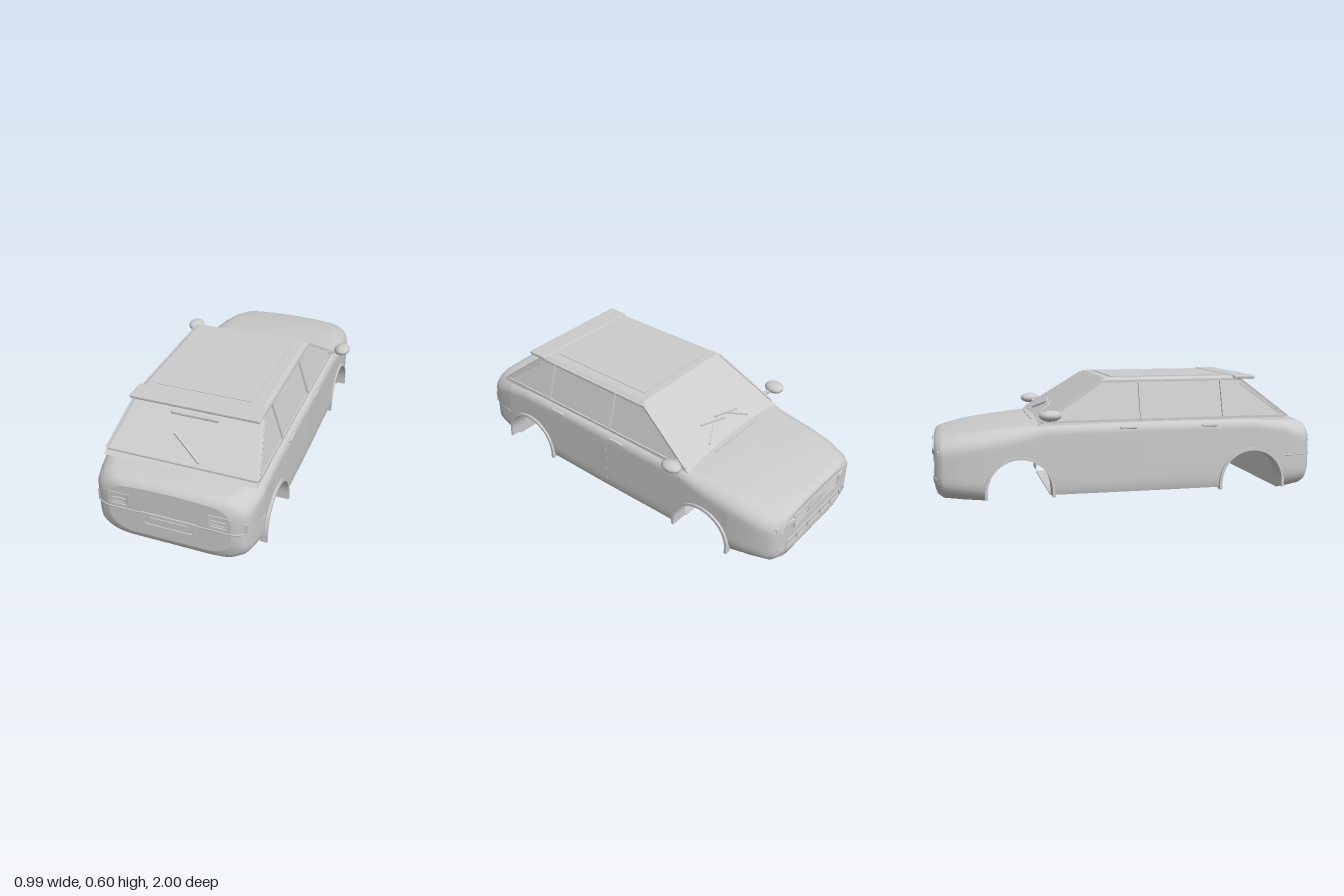
import * as THREE from 'three';
import { ConvexGeometry } from 'three/addons/geometries/ConvexGeometry.js';
import { RoundedBoxGeometry } from 'three/addons/geometries/RoundedBoxGeometry.js';

const V = (x, y, z) => new THREE.Vector3(x, y, z);

// Body stations: z, half width, top height, bottom height, top corner width, bottom corner width
const STATIONS = [
  [-0.992, 0.30, 0.285, 0.05, 0.10, 0.12],
  [-0.98, 0.335, 0.303, 0.02, 0.11, 0.13],
  [-0.95, 0.365, 0.315, 0.004, 0.12, 0.13],
  [-0.85, 0.392, 0.338, 0, 0.12, 0.11],
  [-0.74, 0.404, 0.354, 0, 0.11, 0.06],
  [-0.58, 0.409, 0.37, 0, 0.09, 0.04],
  [-0.45, 0.411, 0.377, 0, 0.04, 0.03],
  [0.1, 0.414, 0.38, 0, 0.035, 0.03],
  [0.65, 0.413, 0.378, 0, 0.035, 0.04],
  [0.8, 0.41, 0.37, 0, 0.06, 0.06],
  [0.88, 0.402, 0.362, 0, 0.1, 0.1],
  [0.94, 0.388, 0.353, 0, 0.12, 0.13],
  [0.965, 0.37, 0.345, 0.005, 0.12, 0.14],
  [0.982, 0.345, 0.333, 0.02, 0.11, 0.14],
  [0.992, 0.31, 0.315, 0.05, 0.1, 0.12],
];
const ARCHES = [{ z: -0.58, r: 0.16, x: 0.418 }, { z: 0.635, r: 0.165, x: 0.425 }];
const ARCH_Y = 0.05;

function stationAt(z) {
  let i = 0;
  while (i < STATIONS.length - 2 && STATIONS[i + 1][0] < z) i++;
  const a = STATIONS[i], b = STATIONS[i + 1], k = (z - a[0]) / (b[0] - a[0]);
  return a.map((v, n) => v + (b[n] - v) * k);
}

// Section from the left bottom edge over the top to the right bottom edge
function section(z, cut) {
  const [, w, top, low, rx, bx] = stationAt(z);
  const ry = 0.03 + rx * 0.5, by = 0.1, yb = cut ?? low, half = [];
  for (let i = 0; i <= 12; i++) {
    const y = yb + (top - ry - yb) * (i / 12) ** 1.8;
    const d = Math.max(0, 1 - (y - low) / by);
    half.push([w - bx * (1 - Math.sqrt(Math.max(0, 1 - d * d))), y]);
  }
  for (let i = 1; i <= 7; i++) {
    const a = i / 7 * Math.PI / 2;
    half.push([w - rx * (1 - Math.cos(a)), top - ry + ry * Math.sin(a)]);
  }
  for (let i = 1; i <= 6; i++) {
    const k = 1 - i / 6;
    half.push([(w - rx) * k, top + 0.009 * (1 - k * k)]);
  }
  const mirror = half.slice(0, -1).reverse().map(([x, y]) => [-x, y]);
  return [...half, ...mirror].map(([x, y]) => [x, y, z]);
}

// Skin over sections; closed pieces get a bottom and two end walls
function loft(stations, closed) {
  const rings = stations.map(([z, cut]) => section(z, cut));
  const n = rings[0].length, pos = rings.flat(2), index = [];
  for (let i = 0; i < rings.length - 1; i++)
    for (let j = 0; j < (closed ? n : n - 1); j++) {
      const k = (j + 1) % n, a = i * n + j, b = i * n + k;
      index.push(a, b, b + n, a, b + n, a + n);
    }
  if (closed) for (const last of [false, true]) {
    const ring = last ? rings[rings.length - 1] : rings[0], base = pos.length / 3;
    pos.push(...ring.flat(), 0, 0.18, ring[0][2]);
    for (let j = 0; j < n; j++) {
      const k = (j + 1) % n;
      index.push(base + n, base + (last ? j : k), base + (last ? k : j));
    }
  }
  const g = new THREE.BufferGeometry();
  g.setAttribute('position', new THREE.Float32BufferAttribute(pos, 3));
  g.setIndex(index);
  g.computeVertexNormals();
  return g;
}

export function createModel() {
  const car = new THREE.Group();
  car.name = 'carBody';
  const grey = new THREE.MeshStandardMaterial({ color: 0xcccccc, side: THREE.DoubleSide });
  const add = (name, geo, x = 0, y = 0, z = 0) => {
    const m = new THREE.Mesh(geo, grey);
    m.name = name;
    m.position.set(x, y, z);
    car.add(m);
    return m;
  };
  const box = (name, w, h, d, x, y, z) => add(name, new THREE.BoxGeometry(w, h, d), x, y, z);
  const strip = (name, a, b, w, h = w) => {
    const m = box(name, w, h, a.distanceTo(b), 0, 0, 0);
    m.position.copy(a).add(b).multiplyScalar(0.5);
    m.lookAt(b);
  };
  const outline = (pts) => new THREE.Shape(pts.map(([x, y]) => new THREE.Vector2(x, y)));
  const tube = (name, pts, r) =>
    add(name, new THREE.TubeGeometry(new THREE.CatmullRomCurve3(pts), 40, r, 6));

  // Shell: closed nose and tail, open middle with wheel arches
  const zs = STATIONS.map((s) => s[0]);
  add('noseShell', loft(zs.filter((z) => z <= -0.74).map((z) => [z]), true));
  add('tailShell', loft(zs.filter((z) => z >= 0.8).map((z) => [z]), true));
  const arc = ({ z, r }) => Array.from({ length: 25 }, (_, i) => {
    const a = Math.PI * (1 - i / 24);
    return [z + r * Math.cos(a), ARCH_Y + r * Math.sin(a)];
  });
  const sill = [-0.42, -0.2, 0, 0.1, 0.3, 0.47].map((z) => [z, 0.025]);
  add('middleShell', loft([...arc(ARCHES[0]), ...sill, ...arc(ARCHES[1])], false));
  box('floorPanel', 0.62, 0.006, 0.89, 0, 0.008, 0.025);

  // Wheel arch lips and inner liners
  const hoop = ({ z, r }, t, depth) => {
    const s = new THREE.Shape();
    s.moveTo(z + r + t, 0.015);
    s.lineTo(z + r + t, ARCH_Y);
    s.absarc(z, ARCH_Y, r + t, 0, Math.PI, false);
    s.lineTo(z - r - t, 0.015);
    s.lineTo(z - r, 0.015);
    s.lineTo(z - r, ARCH_Y);
    s.absarc(z, ARCH_Y, r, Math.PI, 0, true);
    s.lineTo(z + r, 0.015);
    return new THREE.ExtrudeGeometry(s, { depth, bevelEnabled: false, curveSegments: 24 })
      .rotateY(-Math.PI / 2);
  };
  for (const arch of ARCHES) for (const s of [1, -1]) {
    add('archLip', hoop(arch, 0.014, 0.035), s > 0 ? arch.x : 0.035 - arch.x);
    add('archLiner', hoop(arch, 0.005, 0.08), s > 0 ? 0.4 : -0.32);
  }

  // Cabin with sloping glass and roof
  const cabin = [];
  for (const [x, y, z0, z1] of [[0.389, 0.37, -0.49, 0.865], [0.322, 0.585, -0.15, 0.59], [0.305, 0.6, -0.135, 0.57]])
    for (const s of [1, -1]) cabin.push(V(s * x, y, z0), V(s * x, y, z1));
  add('cabin', new ConvexGeometry(cabin));
  box('roofPanel', 0.5, 0.006, 0.62, 0, 0.6, 0.22);
  add('roofSpoiler', new RoundedBoxGeometry(0.665, 0.02, 0.115, 3, 0.008), 0, 0.594, 0.615);

  // Window frames, pillars, handles, seams and mirrors on both sides
  for (const s of [1, -1]) {
    const side = (y, z) => V(s * (0.383 - (y - 0.39) * 0.312), y, z);
    strip('beltTrim', side(0.39, -0.44), side(0.39, 0.82), 0.012);
    strip('roofRail', side(0.583, -0.15), side(0.583, 0.58), 0.012);
    strip('windscreenPillar', side(0.387, -0.463), side(0.585, -0.15), 0.012);
    strip('rearPillar', side(0.39, 0.835), side(0.585, 0.59), 0.014);
    for (const z of [0.04, 0.48]) strip('doorPillar', side(0.39, z), side(0.583, z), 0.008, 0.022);
    strip('quarterTrim', side(0.4, 0.8), side(0.56, 0.59), 0.008);
    for (const z of [0.4, -0.03])
      add('doorHandle', new RoundedBoxGeometry(0.016, 0.014, 0.085, 2, 0.005), s * 0.411, 0.355, z);
    strip('doorSeam', V(s * 0.4135, 0.07, 0.045), V(s * 0.4135, 0.33, 0.045), 0.003);
    const mirror = add('mirror', new THREE.SphereGeometry(1, 24, 16), s * 0.453, 0.43, -0.433);
    mirror.scale.set(0.043, 0.028, 0.055);
    mirror.rotation.z = s * 0.1;
    strip('mirrorArm', V(s * 0.375, 0.405, -0.41), V(s * 0.435, 0.422, -0.425), 0.022, 0.016);
  }

  // Rear lamps wrap the corner: vertices bend forward with x
  const lampShape = outline([[0.2, 0.27], [0.2, 0.195], [0.378, 0.175], [0.378, 0.235], [0.3, 0.268]]);
  for (const s of [1, -1]) {
    const g = new THREE.ExtrudeGeometry(lampShape, { depth: 0.018, bevelEnabled: false });
    const p = g.attributes.position;
    for (let i = 0; i < p.count; i++)
      p.setZ(i, p.getZ(i) + 0.979 - 4 * Math.max(0, p.getX(i) - 0.29) ** 2);
    g.computeVertexNormals();
    add('rearLamp', g).scale.x = s;
    for (const [y, w] of [[0.24, 0.07], [0.218, 0.06], [0.205, 0.08]])
      box('lampRib', w, 0.006, 0.006, s * 0.25, y, 0.997);
  }
  tube('rearBumperLine', [V(-0.412, 0.18, 0.81), V(-0.376, 0.18, 0.958), V(-0.33, 0.18, 0.988), V(-0.2, 0.18, 0.992),
    V(0.2, 0.18, 0.992), V(0.33, 0.18, 0.988), V(0.376, 0.18, 0.958), V(0.412, 0.18, 0.81)], 0.004);

  // Number plate holder
  const holder = outline([[-0.138, 0.11], [0.138, 0.11], [0.138, 0.19], [-0.138, 0.19]]);
  holder.holes.push(outline([[-0.12, 0.125], [-0.12, 0.175], [0.12, 0.175], [0.12, 0.125]]));
  add('plateHolder', new THREE.ExtrudeGeometry(holder, { depth: 0.012, bevelEnabled: false }), 0, 0, 0.987);
  box('rearPlate', 0.185, 0.038, 0.01, 0, 0.147, 0.992);

  // Rear glass fittings
  const rearZ = (y) => 0.865 - (y - 0.37) * 1.279;
  strip('rearGlassSill', V(-0.38, 0.39, rearZ(0.39)), V(0.38, 0.39, rearZ(0.39)), 0.01);
  add('brakeLamp', new RoundedBoxGeometry(0.25, 0.018, 0.02, 2, 0.006), 0, 0.54, rearZ(0.54));
  strip('rearWiper', V(-0.07, 0.486, rearZ(0.486) + 0.02), V(0.09, 0.413, rearZ(0.413) + 0.02), 0.009);

  // Windscreen wipers and bonnet vent
  const frontY = (z) => 0.37 + (z + 0.49) * 0.632 + 0.01;
  const wiper = (name, x0, z0, x1, z1) => strip(name, V(x0, frontY(z0), z0), V(x1, frontY(z1), z1), 0.008);
  wiper('wiperArm', -0.17, -0.45, -0.07, -0.39);
  wiper('wiperBlade', -0.14, -0.4, 0.015, -0.37);
  wiper('wiperArm', 0.17, -0.45, 0.05, -0.385);
  wiper('wiperBlade', -0.03, -0.4, 0.13, -0.365);
  box('bonnetVent', 0.36, 0.005, 0.008, 0, 0.385, -0.497);

  // Nose: grille, headlamps, lower intake and fog lamps
  const frame = outline([[-0.21, 0.185], [0.21, 0.185], [0.21, 0.26], [-0.21, 0.26]]);
  frame.holes.push(outline([[-0.2, 0.193], [-0.2, 0.252], [0.2, 0.252], [0.2, 0.193]]));
  add('grilleFrame', new THREE.ExtrudeGeometry(frame, { depth: 0.01, bevelEnabled: false }), 0, 0, -0.999);
  for (let i = 0; i < 4; i++) box('grilleSlat', 0.4, 0.005, 0.008, 0, 0.203 + i * 0.013, -0.993);
  box('frontPlate', 0.17, 0.035, 0.01, 0, 0.22, -0.994);
  const intake = outline([[-0.27, 0.085], [0.27, 0.085], [0.25, 0.135], [-0.25, 0.135]]);
  intake.holes.push(outline([[-0.258, 0.092], [-0.242, 0.128], [0.242, 0.128], [0.258, 0.092]]));
  add('lowerIntake', new THREE.ExtrudeGeometry(intake, { depth: 0.01, bevelEnabled: false }), 0, 0, -0.998);
  for (const x of [-0.16, -0.06, 0.06, 0.16]) box('intakeBar', 0.012, 0.04, 0.008, x, 0.11, -0.993);
  for (const s of [1, -1]) {
    const lamp = add('headLamp', new RoundedBoxGeometry(0.13, 0.035, 0.02, 2, 0.008), s * 0.275, 0.24, -0.982);
    lamp.rotation.y = s * -0.2;
    const fog = box('fogLamp', 0.055, 0.04, 0.016, s * 0.308, 0.11, -0.98);
    fog.rotation.y = s * -0.4;
    const bulb = add('fogBulb', new THREE.CylinderGeometry(0.014, 0.014, 0.012, 16).rotateX(Math.PI / 2), s * 0.309, 0.11, -0.987);
    bulb.rotation.y = s * -0.4;
  }
  return car;
}
